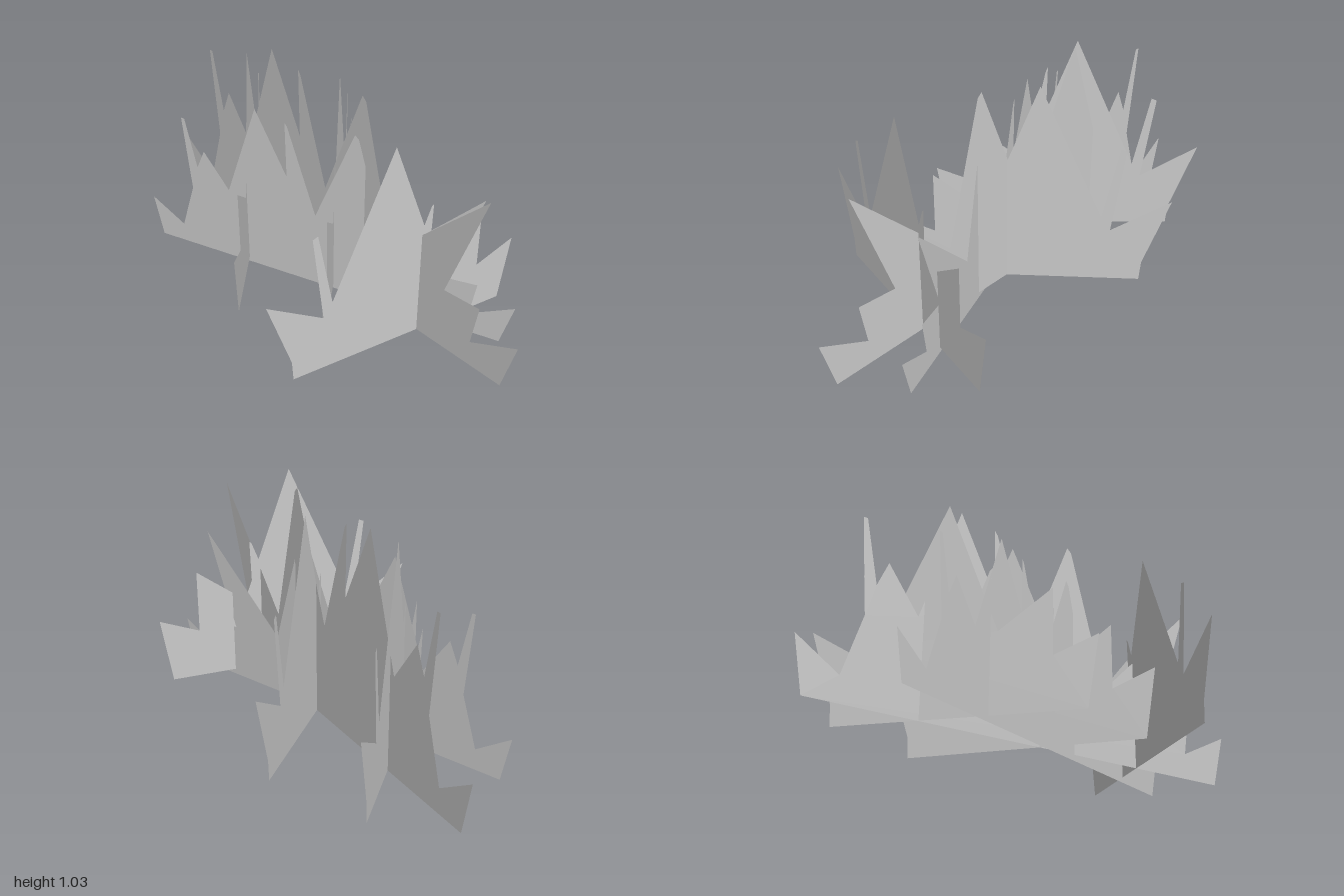
import * as THREE from 'three';

const material = new THREE.MeshStandardMaterial({ color: 0xcccccc, side: THREE.DoubleSide, flatShading: true });

// Flat cut-out of blades from an outline of [distance, height] points
function cutOut(points) {
  return new THREE.ShapeGeometry(new THREE.Shape(points.map(([u, y]) => new THREE.Vector2(u, y))));
}

// Wide tuft outline
const wideTuft = cutOut([
  [-0.955, 0], [-1.0, 0.245], [-0.82, 0.115], [-0.743, 0.39], [-0.78, 0.827], [-0.762, 0.827],
  [-0.705, 0.535], [-0.66, 0.65], [-0.525, 0.445], [-0.355, 1.0], [-0.19, 0.64], [-0.195, 0.965],
  [-0.182, 0.945], [-0.035, 0.446], [0.17, 1.0], [0.19, 0.98], [0.35, 0.335], [0.81, 0.83],
  [0.635, 0.3], [0.81, 0.315], [0.78, 0.12], [1.0, 0.24], [0.94, 0],
]);

// Narrow tuft outline
const narrowTuft = cutOut([
  [-0.255, 0.025], [-0.295, 0.335], [-0.14, 0.26], [-0.14, 0.555], [0.05, 0.385], [0.08, 0.48],
  [0.075, 0.672], [0.083, 0.665], [0.11, 0.58], [0.24, 1.0], [0.475, 0.365], [0.53, 0.715],
  [0.55, 0.705], [0.51, 0.3], [0.725, 0.46], [0.635, 0.13], [0.63, 0.035],
]);

// Stands a tuft upright; (dx, dz) is the ground step per unit of outline
function tuft(name, geometry, x, y, z, dx, dz, heightScale = 1) {
  const mesh = new THREE.Mesh(geometry, material);
  mesh.name = name;
  mesh.position.set(x, y, z);
  mesh.rotation.y = Math.atan2(-dz, dx);
  mesh.scale.set(Math.hypot(dx, dz), heightScale, 1);
  return mesh;
}

export function createModel() {
  const group = new THREE.Group();
  group.name = 'grassClump';
  group.add(
    // Two wide tufts along the clump
    tuft('largeWideTuft', wideTuft, 0, 0.03, -0.073, 1, 0.373),
    tuft('smallWideTuft', wideTuft, -0.009, 0.003, 0, 0.905, 0, 0.84),
    // Three narrow tufts crossing them
    tuft('leftCrossTuft', narrowTuft, 0.581, 0, 0, -0.63, 1),
    tuft('middleCrossTuft', narrowTuft, 0.081, 0, 0.082, -0.406, -1.11),
    tuft('rightCrossTuft', narrowTuft, -0.354, 0, 0.083, -0.465, -1.087),
  );
  return group;
}
